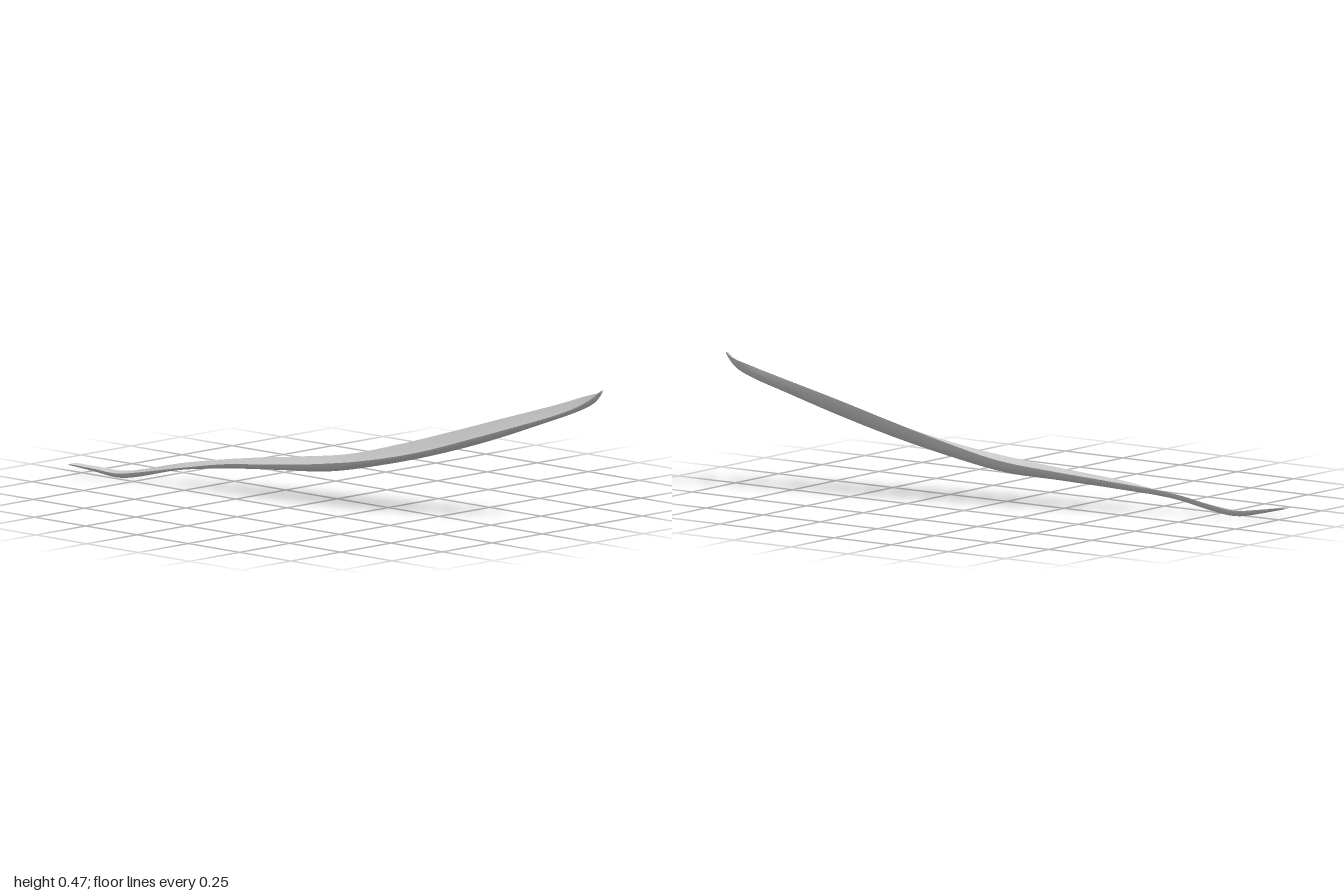
import * as THREE from 'three';
import { toCreasedNormals } from 'three/addons/utils/BufferGeometryUtils.js';

// Sections along the blade: z, left x, right x, left rim y, right rim y, keel y
const SECTIONS = [
  [-1.0, -0.317, -0.277, 0.042, 0.041, 0.036],
  [-0.92, -0.274, -0.24, 0.03, 0.032, 0.017],
  [-0.84, -0.247, -0.21, 0.02, 0.025, 0.003],
  [-0.76, -0.224, -0.186, 0.03, 0.038, 0.014],
  [-0.6, -0.182, -0.142, 0.06, 0.075, 0.052],
  [-0.4, -0.15, -0.06, 0.095, 0.105, 0.075],
  [-0.2, -0.125, 0.0, 0.115, 0.128, 0.09],
  [0.0, -0.09, 0.055, 0.138, 0.155, 0.104],
  [0.2, -0.045, 0.105, 0.17, 0.208, 0.145],
  [0.4, 0.012, 0.155, 0.218, 0.27, 0.198],
  [0.6, 0.092, 0.205, 0.285, 0.335, 0.264],
  [0.8, 0.195, 0.265, 0.357, 0.4, 0.344],
  [0.9, 0.25, 0.304, 0.4, 0.437, 0.388],
  [0.96, 0.277, 0.315, 0.436, 0.456, 0.422],
  [1.0, 0.294, 0.306, 0.472, 0.474, 0.465],
];

const LENGTH_STEPS = 90, UNDER = 16, TOP = 8;

// Smooth interpolation of every section column
function sectionAt(t) {
  const f = t * (SECTIONS.length - 1);
  const i = Math.min(Math.floor(f), SECTIONS.length - 2), w = f - i;
  const at = (k) => SECTIONS[THREE.MathUtils.clamp(k, 0, SECTIONS.length - 1)];
  return SECTIONS[0].map((_, c) => {
    const [a, b, d, e] = [at(i - 1)[c], at(i)[c], at(i + 1)[c], at(i + 2)[c]];
    return b + 0.5 * w * (d - a + w * (2 * a - 5 * b + 4 * d - e + w * (3 * (b - d) + e - a)));
  });
}

// Closed ring: rounded hull from left rim to right rim, then back over the shallow top
function ring([z, xL, xR, yL, yR, keel]) {
  const points = [], mid = (xL + xR) / 2, half = (xR - xL) / 2;
  for (let i = 0; i < UNDER; i++) {
    const a = (i / UNDER) * Math.PI;
    const rim = i < UNDER / 2 ? yL : yR;
    points.push([mid - half * Math.cos(a), rim - (rim - keel) * Math.pow(Math.sin(a), 0.8), z]);
  }
  for (let i = 0; i < TOP; i++) {
    const u = 1 - i / TOP;
    const sag = 0.15 * (Math.min(yL, yR) - keel) * Math.sin(u * Math.PI);
    points.push([xL + (xR - xL) * u, yL + (yR - yL) * u - sag, z]);
  }
  return points;
}

function bladeGeometry() {
  const positions = [], index = [], n = UNDER + TOP;
  for (let s = 0; s <= LENGTH_STEPS; s++) positions.push(...ring(sectionAt(s / LENGTH_STEPS)).flat());
  for (let s = 0; s < LENGTH_STEPS; s++) {
    for (let i = 0; i < n; i++) {
      const a = s * n + i, b = s * n + ((i + 1) % n), c = a + n, d = b + n;
      index.push(a, b, c, b, d, c);
    }
  }
  // End caps
  const last = LENGTH_STEPS * n;
  for (let i = 1; i < n - 1; i++) {
    index.push(0, i + 1, i);
    index.push(last, last + i, last + i + 1);
  }
  const geometry = new THREE.BufferGeometry();
  geometry.setAttribute('position', new THREE.Float32BufferAttribute(positions, 3));
  geometry.setIndex(index);
  return toCreasedNormals(geometry, 0.8);
}

export function createModel() {
  const group = new THREE.Group();
  group.name = 'leaf';
  const material = new THREE.MeshStandardMaterial({ color: 0xcccccc, side: THREE.DoubleSide });
  const blade = new THREE.Mesh(bladeGeometry(), material);
  blade.name = 'leafBladeAndStem';
  group.add(blade);
  return group;
}
